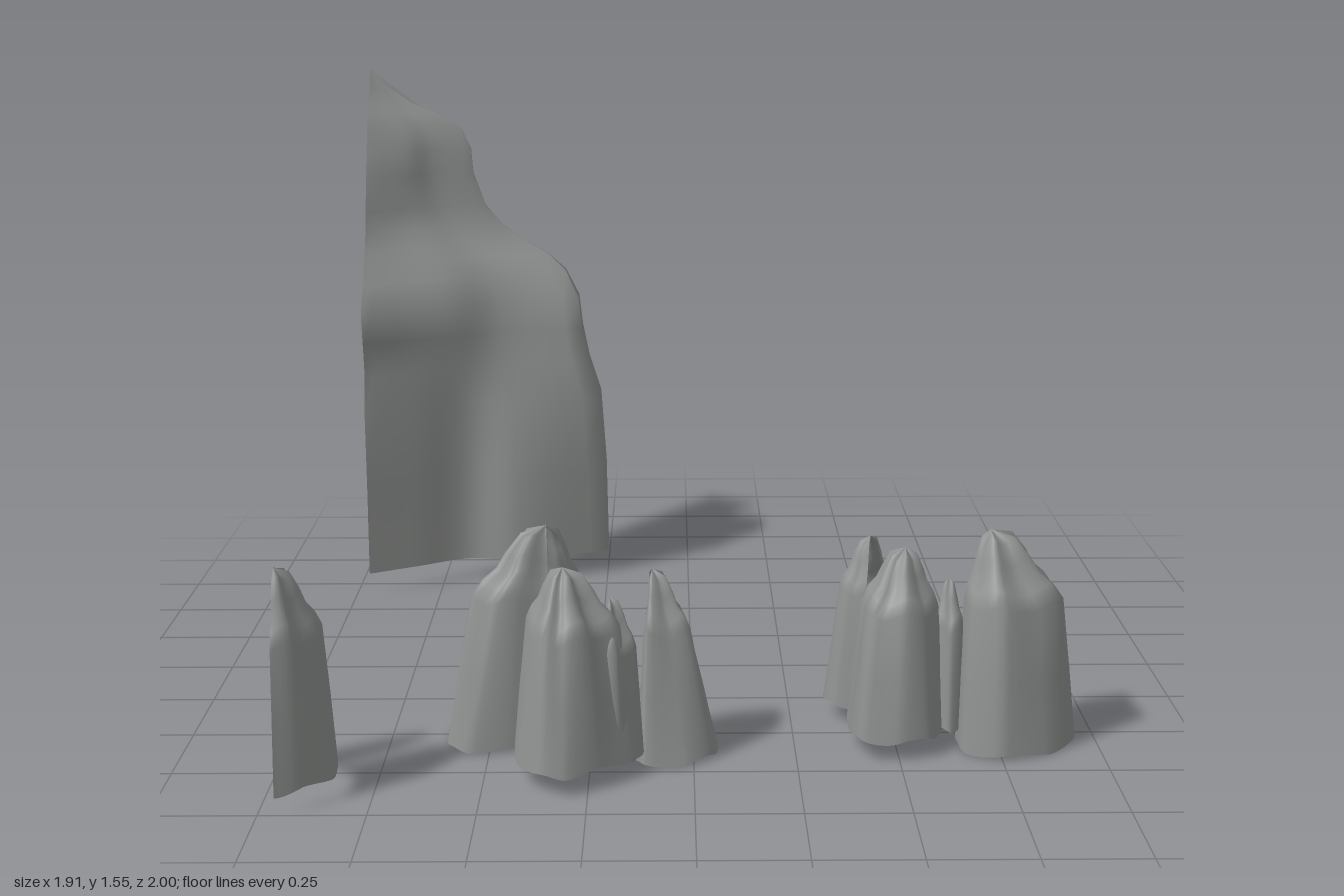
import * as THREE from 'three';

const stone = new THREE.MeshStandardMaterial({ color: 0x8f9290, side: THREE.DoubleSide });
const V = (x, y, z) => new THREE.Vector3(x, y, z);

// Skin a list of rows, each holding the same number of points
function loft(rows, name) {
  const n = rows[0].length, index = [];
  for (let r = 0; r < rows.length - 1; r++) {
    for (let i = 0; i < n - 1; i++) {
      const a = r * n + i, b = a + 1, c = a + n, d = c + 1;
      index.push(a, b, d, a, d, c);
    }
  }
  const geo = new THREE.BufferGeometry().setFromPoints(rows.flat());
  geo.setIndex(index);
  geo.computeVertexNormals();
  const mesh = new THREE.Mesh(geo, stone);
  mesh.name = name;
  return mesh;
}

// Open rock shell: a footprint curve tapers up to a shoulder (fraction k), then a knob closes on the peak
function pillar(name, base, k, peak, foot) {
  const profile = [[1, 0], [(1 + k) / 2, 0.34], [k, 0.68], [0.84 * k, 0.75], [0.66 * k, 0.8], [0.54 * k, 0.87], [0.34 * k, 0.96], [0, 1]];
  const curve = new THREE.CatmullRomCurve3(foot.map(([x, z]) => V(x, base, z)), false, 'catmullrom', 0.3);
  const line = curve.getPoints(foot.length * 4);
  const [px, py, pz] = peak;
  const rows = profile.map(([f, t]) => line.map((p, i) => {
    const ridge = Math.sin(i * 0.75 + px * 9 + t * 1.5);
    const s = f * (1 + 0.25 * ridge * f * (1 - f));
    const y = base + (py - base) * t + 0.03 * ridge * f * (1.2 - f);
    return V(px + (p.x - px) * s, y, pz + (p.z - pz) * s);
  }));
  return loft(rows, name);
}

// Cliff: [height, left z, valley z, bulge z, right x, right z]
const CLIFF = [
  [0.08, -0.64, -0.80, -0.78, -0.25, -0.88],
  [0.35, -0.645, -0.80, -0.78, -0.255, -0.88],
  [0.57, -0.64, -0.79, -0.81, -0.27, -0.88],
  [0.68, -0.67, -0.785, -0.835, -0.305, -0.89],
  [0.78, -0.65, -0.77, -0.845, -0.325, -0.90],
  [0.87, -0.63, -0.77, -0.86, -0.335, -0.92],
  [0.95, -0.69, -0.81, -0.89, -0.375, -0.96],
  [1.0, -0.72, -0.84, -0.915, -0.43, -0.98],
  [1.04, -0.75, -0.86, -0.93, -0.50, -0.99],
  [1.09, -0.78, -0.885, -0.94, -0.57, -0.99],
  [1.15, -0.80, -0.905, -0.95, -0.62, -0.99],
  [1.25, -0.83, -0.91, -0.955, -0.655, -0.99],
  [1.32, -0.86, -0.92, -0.96, -0.66, -0.99],
  [1.385, -0.885, -0.94, -0.97, -0.69, -0.995],
  [1.43, -0.91, -0.955, -0.98, -0.77, -0.995],
  [1.46, -0.94, -0.97, -0.985, -0.84, -0.995],
  [1.51, -0.97, -0.985, -0.99, -0.91, -1],
  [1.56, -1, -1, -1, -0.955, -1],
];
function cliff() {
  const rows = CLIFF.map(([y, zl, zv, zb, xr, zr]) => {
    const across = f => -0.96 + (xr + 0.96) * f;
    const front = new THREE.CatmullRomCurve3([
      V(-0.96, y, zl), V(across(0.2), y, zl + (zv - zl) * 0.5),
      V(across(0.41), y, zv), V(across(0.62), y, zb), V(xr, y, zr),
    ], false, 'centripetal').getPoints(20);
    return [...front, V(xr, y, (zr - 1) / 2), V(xr, y, -1)];
  });
  return loft(rows, 'cliffFace');
}

// Faceted flap closing the back of the summit
function summitBack() {
  const p = [V(-0.96, 1.56, -1), V(-0.72, 1.38, -1), V(-0.67, 1.29, -1), V(-0.63, 1.14, -1), V(-0.52, 1.03, -1),
    V(-0.74, 0.88, -0.845), V(-0.96, 0.75, -0.655), V(-0.96, 1.1, -0.81)];
  const hub = V(-0.79, 1.11, -0.96);
  const pts = p.flatMap((a, i) => [hub, a, p[(i + 1) % p.length]]);
  const geo = new THREE.BufferGeometry().setFromPoints(pts);
  geo.computeVertexNormals();
  const mesh = new THREE.Mesh(geo, stone);
  mesh.name = 'summitBack';
  return mesh;
}

// Rock clusters: name, base height, shoulder fraction, peak, footprint
const CLUSTERS = {
  rightCluster: [
    ['backPillar', 0.06, 0.66, [0.45, 0.49, 0.37], [[0.54, 0.31], [0.52, 0.24], [0.44, 0.23], [0.39, 0.28], [0.335, 0.36], [0.36, 0.43], [0.43, 0.45]]],
    ['frontPillar', 0.06, 0.75, [0.52, 0.51, 0.54], [[0.4, 0.48], [0.385, 0.51], [0.385, 0.6], [0.41, 0.68], [0.5, 0.69], [0.58, 0.66], [0.62, 0.58]]],
    ['smallPillar', 0.06, 0.75, [0.63, 0.43, 0.53], [[0.58, 0.57], [0.63, 0.61], [0.68, 0.57]]],
    ['sidePillar', 0.02, 0.8, [0.73, 0.55, 0.52], [[0.65, 0.56], [0.66, 0.64], [0.75, 0.69], [0.87, 0.65], [0.945, 0.57], [0.95, 0.44], [0.88, 0.405], [0.78, 0.44]]],
  ],
  middleCluster: [
    ['backPillar', 0.02, 0.7, [-0.36, 0.56, 0.51], [[-0.24, 0.47], [-0.24, 0.43], [-0.3, 0.37], [-0.38, 0.33], [-0.48, 0.36], [-0.56, 0.41], [-0.6, 0.48], [-0.605, 0.59], [-0.55, 0.635], [-0.45, 0.62], [-0.35, 0.585]]],
    ['frontPillar', 0.06, 0.72, [-0.31, 0.52, 0.73], [[-0.35, 0.64], [-0.43, 0.65], [-0.42, 0.8], [-0.36, 0.89], [-0.3, 0.9], [-0.22, 0.85], [-0.14, 0.78], [-0.13, 0.72]]],
    ['smallPillar', 0.06, 0.75, [-0.2, 0.44, 0.71], [[-0.22, 0.81], [-0.17, 0.8], [-0.12, 0.74], [-0.15, 0.69]]],
    ['sidePillar', 0.02, 0.58, [-0.1, 0.47, 0.58], [[-0.13, 0.48], [-0.05, 0.45], [0.01, 0.49], [0.06, 0.57], [0.05, 0.66], [-0.02, 0.72], [-0.12, 0.73], [-0.14, 0.68]]],
  ],
  edgeCluster: [
    ['frontPillar', 0.06, 0.78, [-0.96, 0.57, 0.89], [[-0.96, 1], [-0.9, 0.96], [-0.84, 0.88], [-0.845, 0.79], [-0.89, 0.75], [-0.93, 0.77]]],
    ['backPillar', 0.06, 0.74, [-0.96, 0.45, 0.71], [[-0.96, 0.66], [-0.93, 0.69], [-0.935, 0.75], [-0.96, 0.77]]],
  ],
};

export function createModel() {
  const model = new THREE.Group();
  model.name = 'rockFormation';
  const mountain = new THREE.Group();
  mountain.name = 'cliff';
  mountain.add(cliff(), summitBack());
  model.add(mountain);
  for (const [name, pillars] of Object.entries(CLUSTERS)) {
    const group = new THREE.Group();
    group.name = name;
    pillars.forEach(p => group.add(pillar(...p)));
    model.add(group);
  }
  return model;
}
